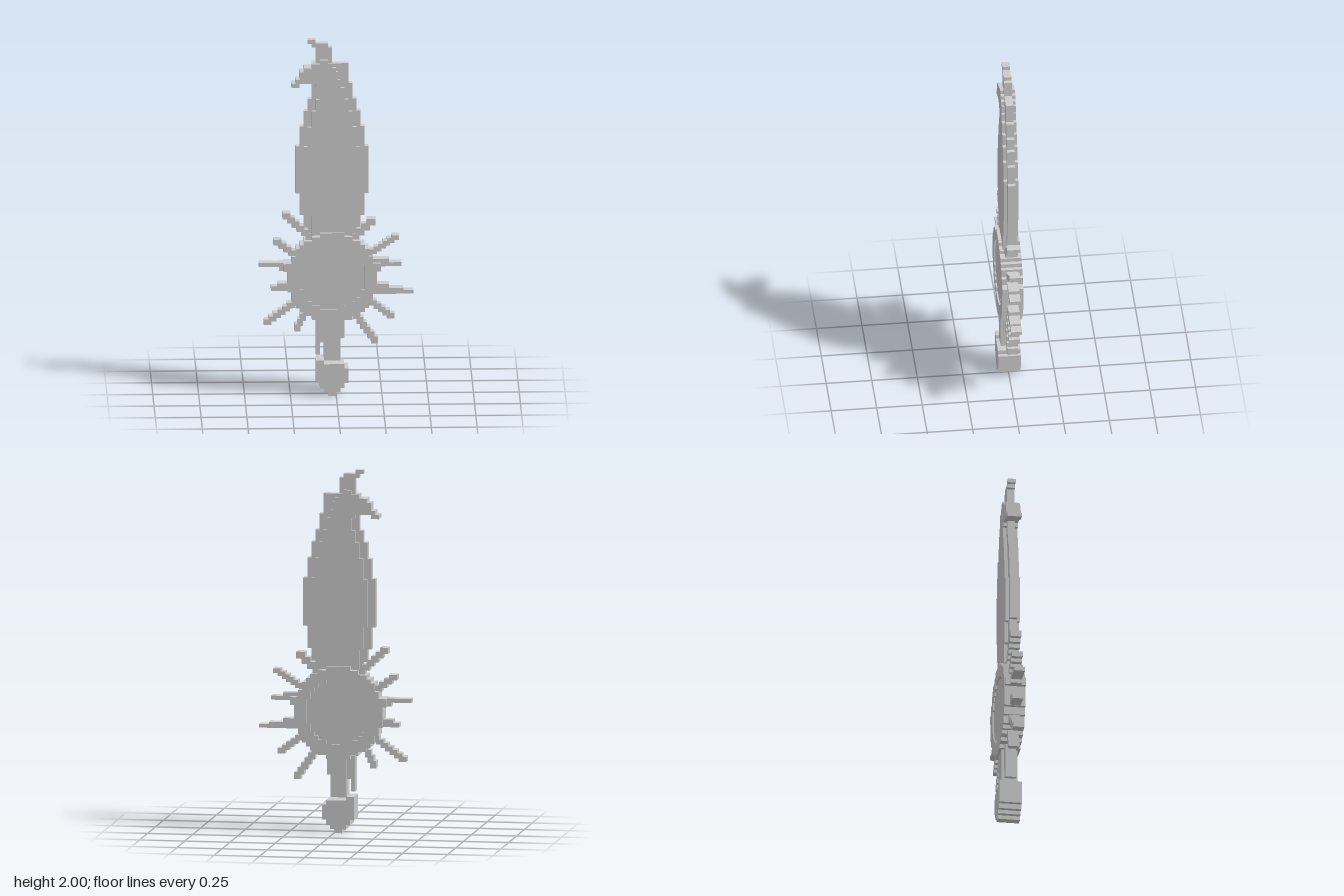
import * as THREE from 'three';

const C = 2 / 90; // one grid cell
const px = i => (i - 1) * C; // blade axis sits one cell off centre
const py = j => j * C;

export function createModel() {
  const model = new THREE.Group();
  const stone = new THREE.MeshStandardMaterial({ color: 0xcccccc });
  stone.name = 'pale stone';

  const add = (name, geometry, parent = model) => {
    const mesh = new THREE.Mesh(geometry, stone);
    mesh.name = name;
    parent.add(mesh);
  };

  // Stepped outline from rows of [bottom, top, left, right], in cells
  const outline = rows => {
    const right = rows.flatMap(([b, t, , r]) => [[r, b], [r, t]]);
    const left = rows.flatMap(([b, t, l]) => [[l, b], [l, t]]).reverse();
    return [...right, ...left].map(([x, y]) => new THREE.Vector2(px(x), py(y)));
  };

  const slab = (rows, half, holeRows) => {
    const shape = new THREE.Shape(outline(rows));
    if (holeRows) shape.holes.push(new THREE.Path(outline(holeRows)));
    const g = new THREE.ExtrudeGeometry(shape, { depth: half * 2, bevelEnabled: false });
    return g.translate(0, 0, -half);
  };

  const block = (x0, y0, x1, y1, half) =>
    new THREE.BoxGeometry((x1 - x0) * C, (y1 - y0) * C, half * 2)
      .translate(px((x0 + x1) / 2), py((y0 + y1) / 2), 0);

  // Rows of a pixelated circle
  const discRows = (radius, count, bottom) =>
    Array.from({ length: count }, (_, i) => {
      const t = ((i + 0.5) / count) * 2 - 1;
      const w = Math.round(radius * Math.sqrt(1 - t * t));
      return [bottom + i, bottom + i + 1, -w, w];
    });

  // Thin blade edge with the bent tip
  add('bladeEdge', slab([
    [40.5, 42.4, -6, 6], [42.4, 45.5, -7, 7], [45.5, 51, -8, 8], [51, 63, -9, 9],
    [63, 68, -8, 8], [68, 72, -7, 7], [72, 75, -6, 6], [75, 79, -5, 5],
    [79, 84, -4, 4], [84, 88, -4, 0], [88, 89, -5, -1], [89, 90, -6, -4],
  ], 0.021));

  // Thicker blade core running into the side hook
  add('bladeCore', slab([
    [40.5, 45.5, -5, 5], [45.5, 51, -6, 6], [51, 63, -7, 7], [63, 68, -6, 6],
    [68, 72, -5, 5], [72, 75, -4, 4], [75, 78, -3, 3], [78, 79, -4, 2],
    [79, 80, -9, 2], [80, 82, -8, 1.5], [82, 83, -7, 1], [83, 84, -5, 0], [84, 85, -3, -1],
  ], 0.04));
  add('hookTip', block(-10, 78, -8, 79, 0.04));

  // Sun disc: raised rim around a shallow recess, with a lug on each side
  const inner = discRows(8, 16, 22);
  add('sunRim', slab(discRows(11, 23, 18.3), 0.058, inner));
  add('sunFace', slab(inner, 0.05));
  add('leftLug', block(10, 31.5, 12, 33.5, 0.057));
  add('rightLug', block(-12, 31.5, -10, 33.5, 0.057));

  // Rays around the disc
  const rays = new THREE.Group();
  rays.name = 'sunRays';
  model.add(rays);
  const RAY = 0.03;

  // Diagonal rays as staircases from tip to disc
  [
    [-11.2, 45.3, -5.5, 40], [9.6, 43.7, 5.5, 40], [-13.4, 38.7, -8.5, 35],
    [-15.8, 18.5, -9, 23.5], [15.5, 39.7, 9, 35.5], [14.4, 19.9, 9, 24],
    [10.4, 13.8, 6, 20], [-8.5, 17, -6.5, 21],
  ].forEach(([x0, y0, x1, y1]) => {
    const dx = x1 - x0, dy = y1 - y0;
    const n = Math.round(Math.max(Math.abs(dx), Math.abs(dy)) * 0.85);
    const w = Math.abs(dx) / n / 2 + 0.4, h = Math.abs(dy) / n / 2 + 0.25;
    for (let i = 0; i <= n; i++) {
      const x = x0 + (dx * i) / n, y = y0 + (dy * i) / n;
      add('rayStep', block(x - w, y - h, x + w, y + h, RAY), rays);
    }
  });

  // Straight rays to the sides and beside the grip
  [
    [-18, 32.5, -10, 33.5], [-13, 31.5, -10, 32.5],
    [-15, 26.4, -10, 27.5], [-13.5, 27.5, -10, 28.3],
    [10, 32.5, 17, 33.5], [10, 33.5, 14, 34.4],
    [10, 25.5, 20, 26.4], [10, 26.4, 17.5, 27], [10, 27, 14, 28],
    [-4, 10.2, -3, 19], [-3, 13.3, -2, 19], [2, 14.3, 3, 19],
  ].forEach(r => add('straightRay', block(...r, RAY), rays));

  // Grip and pommel
  add('grip', block(-2, 8.8, 2, 19, 0.045));
  add('pommel', slab([
    [0, 1, -1, 1], [1, 2, -2, 2], [2, 3.3, -3, 3], [3.3, 7, -4, 4], [7, 8.1, -4, 3],
  ], 0.062));
  add('pommelNotch', block(-4, 8.1, -2, 9.1, 0.062));

  return model;
}
